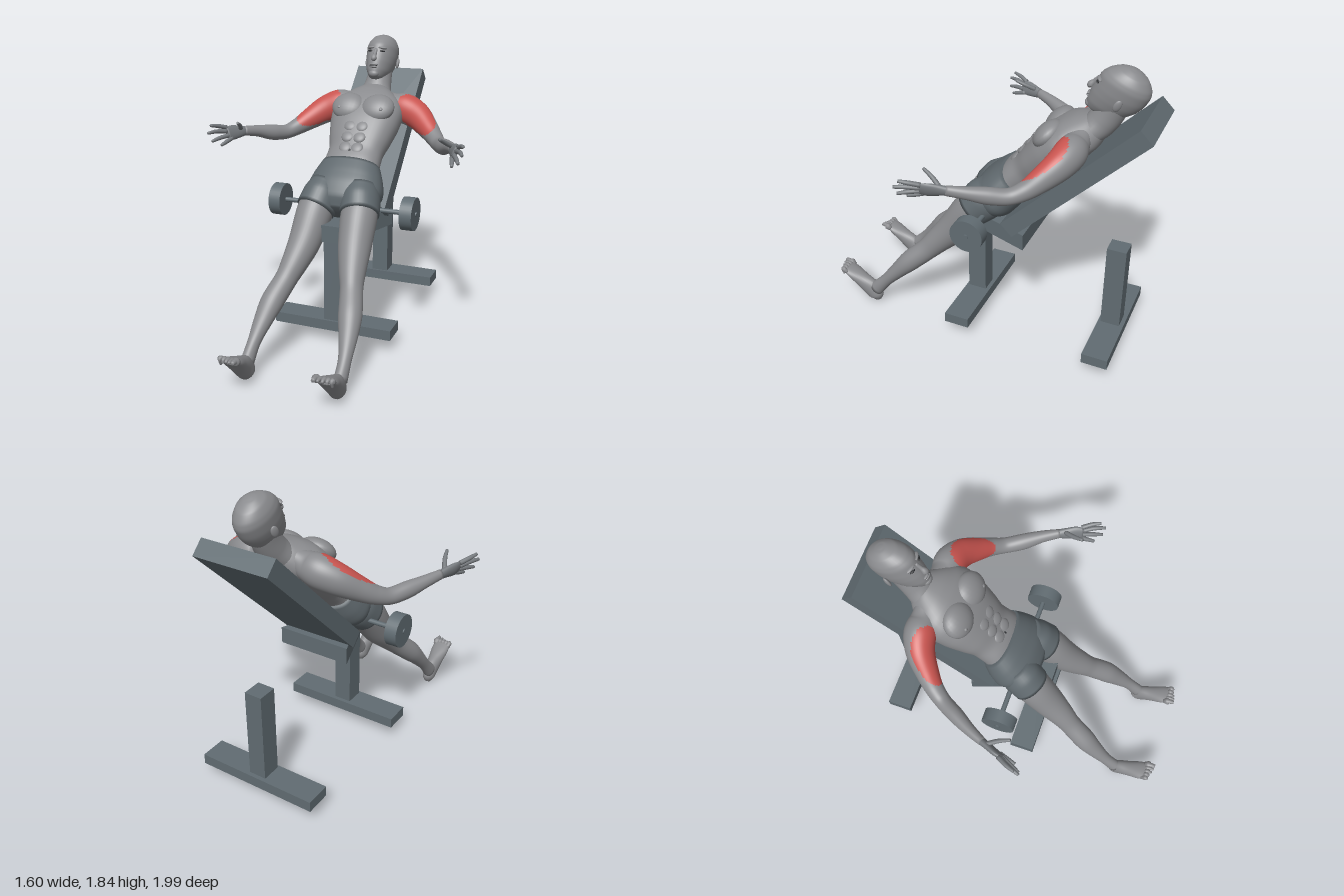
import * as THREE from 'three';

const V = (x, y, z) => new THREE.Vector3(x, y, z);
const mat = (name, color) => Object.assign(new THREE.MeshStandardMaterial({ color }), { name });

// Smooth tube through rows [x, y, z, a, b]; a lies along `hint`, b across it.
// `paint(t, dir)` may send a face to the second material.
function loft(rows, hint, { axis, power = 2, sides = 28, steps = 5, paint } = {}) {
  const path = new THREE.CatmullRomCurve3(rows.map(r => V(r[0], r[1], r[2])));
  const size = new THREE.CatmullRomCurve3(rows.map(r => V(r[3], r[4], 0)));
  const n = (rows.length - 1) * steps;
  const pos = [], idx = [[], []], dirs = [];
  const wave = w => Math.sign(w) * Math.pow(Math.abs(w), 2 / power);
  for (let i = 0; i <= n; i++) {
    const c = path.getPoint(i / n), r = size.getPoint(i / n);
    const t = axis ? axis.clone() : path.getPoint(Math.min(1, (i + 0.5) / n)).sub(path.getPoint(Math.max(0, (i - 0.5) / n)));
    t.normalize();
    const u = hint.clone().addScaledVector(t, -hint.dot(t)).normalize();
    const v = t.clone().cross(u);
    for (let j = 0; j < sides; j++) {
      const k = j / sides * Math.PI * 2;
      const d = u.clone().multiplyScalar(r.x * wave(Math.cos(k))).addScaledVector(v, r.y * wave(Math.sin(k)));
      pos.push(c.x + d.x, c.y + d.y, c.z + d.z);
      dirs.push(d.normalize());
    }
  }
  for (let i = 0; i < n; i++) for (let j = 0; j < sides; j++) {
    const k = (j + 1) % sides, a = i * sides + j, b = i * sides + k;
    const g = paint && paint((i + 0.5) / n, dirs[a].clone().add(dirs[b]).normalize()) ? 1 : 0;
    idx[g].push(a, b, b + sides, a, b + sides, a + sides);
  }
  // end caps
  const p0 = pos.length / 3, first = rows[0], last = rows[rows.length - 1];
  pos.push(first[0], first[1], first[2], last[0], last[1], last[2]);
  for (let j = 0; j < sides; j++) {
    const k = (j + 1) % sides;
    idx[0].push(p0, k, j, p0 + 1, n * sides + j, n * sides + k);
  }
  const geo = new THREE.BufferGeometry();
  geo.setAttribute('position', new THREE.Float32BufferAttribute(pos, 3));
  geo.setIndex([...idx[0], ...idx[1]]);
  geo.addGroup(0, idx[0].length, 0);
  if (idx[1].length) geo.addGroup(idx[0].length, idx[1].length, 1);
  geo.computeVertexNormals();
  return geo;
}

// Rows [height, front, back, halfWidth] as an upright loft
const upright = (rows, power = 2) => loft(
  rows.map(([h, f, b, w]) => [0, h, (f + b) / 2, w, (f - b) / 2]), V(1, 0, 0), { axis: V(0, 1, 0), power, sides: 40 });

export function createModel() {
  const model = new THREE.Group();
  const skin = mat('skin', 0x8a8b8e), shorts = mat('shorts', 0x5f686d), bench = mat('bench', 0x616c72);
  const red = mat('workedMuscle', 0xc8544f), hand = mat('hand', 0x777b7f), dark = mat('eye', 0x2e3033);

  const add = (name, geo, m, parent = model) => {
    const mesh = new THREE.Mesh(geo, m);
    mesh.name = name;
    parent.add(mesh);
    return mesh;
  };
  const box = (name, x, y0, y1, z0, z1, parent) =>
    add(name, new THREE.BoxGeometry(2 * x, y1 - y0, z1 - z0), bench, parent).position.set(0, (y0 + y1) / 2, (z0 + z1) / 2);
  const blob = (name, m, parent, p, s) => {
    const mesh = add(name, new THREE.SphereGeometry(1, 24, 16), m, parent);
    mesh.position.set(...p);
    mesh.scale.set(...s);
    return mesh;
  };
  const frame = (name, y, z, tilt) => {
    const g = new THREE.Group();
    g.name = name;
    g.position.set(0, y, z);
    g.rotation.x = -tilt;
    model.add(g);
    return g;
  };

  // Bench: posts, feet, tapered seat and sloping back
  box('frontPost', 0.055, 0.16, 0.7, 0.03, 0.15);
  box('frontFoot', 0.385, 0.1, 0.165, 0.005, 0.165);
  box('rearPost', 0.055, 0.16, 0.72, -0.88, -0.76);
  box('rearFoot', 0.385, 0.1, 0.165, -0.905, -0.745);
  const seat = new THREE.Shape([[-0.07, -0.18], [0.07, -0.18], [0.235, 0.295], [-0.235, 0.295]].map(p => new THREE.Vector2(...p)));
  const seatGeo = new THREE.ExtrudeGeometry(seat, { depth: 0.105, bevelEnabled: false }).rotateX(-Math.PI / 2);
  add('seat', seatGeo, bench).position.y = 0.69;
  const recline = frame('reclinedTorso', 0, 0, Math.PI / 4);
  box('backrest', 0.235, 0.7, 1.795, 0.385, 0.49, recline);

  // Dumbbell across the hips
  const rod = (name, r, len, x) => {
    const m = add(name, new THREE.CylinderGeometry(r, r, len, 36).rotateZ(Math.PI / 2), bench);
    m.position.set(x, 0.862, -0.035);
  };
  rod('bar', 0.015, 0.95, 0);
  for (const s of [-1, 1]) rod('weight', 0.102, 0.076, s * 0.43);

  // Torso and shorts, along the slope of the back
  add('torso', upright([
    [0.84, 0.74, 0.53, 0.19], [0.9, 0.748, 0.535, 0.181], [0.98, 0.745, 0.53, 0.177], [1.08, 0.762, 0.515, 0.2],
    [1.2, 0.775, 0.5, 0.226], [1.3, 0.772, 0.495, 0.235], [1.38, 0.755, 0.5, 0.215],
    [1.44, 0.73, 0.505, 0.165], [1.5, 0.69, 0.53, 0.1], [1.53, 0.665, 0.55, 0.05]], 2.3), skin, recline);
  add('shortsWaist', upright([
    [0.56, 0.7, 0.56, 0.09], [0.62, 0.752, 0.5, 0.2], [0.72, 0.773, 0.472, 0.243],
    [0.8, 0.77, 0.485, 0.226], [0.89, 0.758, 0.525, 0.19]], 2.3), shorts, recline);
  for (const s of [-1, 1]) {
    blob('chestMuscle', skin, recline, [s * 0.098, 1.275, 0.74], [0.11, 0.098, 0.062]);
    blob('nipple', skin, recline, [s * 0.14, 1.235, 0.788], [0.012, 0.012, 0.008]);
    for (let i = 0; i < 3; i++)
      blob('abdominal', skin, recline, [s * 0.038, 0.97 + i * 0.075, 0.735 + i * 0.01], [0.042, 0.042, 0.018]);
  }
  blob('navel', dark, recline, [0, 0.945, 0.746], [0.006, 0.009, 0.003]);

  // Neck and head
  add('neck', loft([[0, 1.44, -0.59, 0.13, 0.08], [0, 1.52, -0.66, 0.09, 0.088], [0, 1.59, -0.705, 0.08, 0.083],
    [0, 1.68, -0.755, 0.078, 0.07]], V(1, 0, 0)), skin);
  const head = frame('head', 1.7, -0.74, 0.4);
  add('skull', upright([
    [-0.172, 0.1, 0.02, 0.02], [-0.155, 0.133, -0.03, 0.046], [-0.11, 0.144, -0.09, 0.074], [-0.05, 0.146, -0.135, 0.091],
    [0, 0.142, -0.152, 0.099], [0.05, 0.138, -0.157, 0.101], [0.09, 0.118, -0.145, 0.094],
    [0.13, 0.075, -0.105, 0.071], [0.152, 0.025, -0.05, 0.036], [0.157, 0, -0.02, 0.01]]), skin, head);
  add('nose', loft([[0, 0.02, 0.135, 0.01, 0.01], [0, -0.02, 0.148, 0.012, 0.014], [0, -0.05, 0.158, 0.02, 0.02],
    [0, -0.062, 0.15, 0.012, 0.012]], V(1, 0, 0), { sides: 16 }), skin, head);
  blob('upperLip', skin, head, [0, -0.088, 0.143], [0.03, 0.007, 0.012]);
  blob('mouthLine', dark, head, [0, -0.095, 0.145], [0.027, 0.002, 0.006]);
  blob('lowerLip', skin, head, [0, -0.103, 0.142], [0.026, 0.008, 0.012]);
  blob('chin', skin, head, [0, -0.142, 0.118], [0.034, 0.025, 0.026]);
  for (const s of [-1, 1]) {
    blob('eye', dark, head, [s * 0.042, 0.008, 0.129], [0.018, 0.006, 0.007]).rotation.y = s * 0.4;
    blob('brow', skin, head, [s * 0.04, 0.03, 0.126], [0.03, 0.009, 0.014]).rotation.y = s * 0.35;
    blob('ear', skin, head, [s * 0.105, -0.025, -0.03], [0.011, 0.036, 0.022]).rotation.y = s * 0.4;
  }

  // Limbs, mirrored left and right
  for (const s of [-1, 1]) {
    const limb = (name, rows, m, hint, opt) =>
      add(name, loft(rows.map(([x, ...r]) => [s * x, ...r]), V(s * hint[0], hint[1], hint[2]), opt), m);

    // Arm, with the muscle on its upper front face in red
    const front = V(-0.2 * s, 0.58, 0.79);
    limb('arm', [
      [0.07, 1.465, -0.58, 0.05, 0.05], [0.15, 1.42, -0.56, 0.082, 0.08], [0.235, 1.4, -0.555, 0.098, 0.092],
      [0.32, 1.365, -0.525, 0.09, 0.083], [0.41, 1.305, -0.455, 0.07, 0.066], [0.47, 1.262, -0.395, 0.055, 0.054],
      [0.52, 1.236, -0.325, 0.047, 0.047], [0.57, 1.245, -0.235, 0.05, 0.046], [0.63, 1.27, -0.13, 0.037, 0.035],
      [0.678, 1.287, -0.03, 0.03, 0.024]], [skin, red], [0.2, 1, 0],
    { sides: 48, steps: 8, paint: (t, d) => d.dot(front) > 0.1 + 22 * (t - 0.36) ** 2 });

    // Hand
    limb('palm', [[0.672, 1.285, -0.045, 0.028, 0.022], [0.69, 1.288, 0.005, 0.038, 0.021],
      [0.712, 1.29, 0.06, 0.046, 0.019], [0.722, 1.29, 0.1, 0.04, 0.014]], hand, [0.35, 1, 0]);
    const fingers = [
      [[0.737, 1.325, 0.085], [0.768, 1.342, 0.14], [0.788, 1.352, 0.19]],
      [[0.732, 1.302, 0.095], [0.766, 1.312, 0.16], [0.79, 1.31, 0.22]],
      [[0.717, 1.278, 0.095], [0.745, 1.272, 0.155], [0.768, 1.26, 0.212]],
      [[0.703, 1.26, 0.08], [0.715, 1.245, 0.13], [0.725, 1.232, 0.175]],
      [[0.685, 1.305, 0], [0.655, 1.337, 0.06], [0.637, 1.366, 0.12]]];
    fingers.forEach((f, i) => limb(i < 4 ? 'finger' : 'thumb', [
      [...f[0], 0.014, 0.014], [...f[1], 0.013, 0.013], [...f[2], 0.009, 0.009]], hand, [0, 1, 0.1], { sides: 12 }));

    // Leg and leg of the shorts
    limb('shortsLeg', [[0.115, 0.99, -0.06, 0.1, 0.11], [0.128, 0.92, 0, 0.122, 0.134],
      [0.145, 0.852, 0.068, 0.121, 0.123]], shorts, [1, 0, 0], { sides: 36 });
    limb('leg', [
      [0.135, 0.92, 0, 0.11, 0.118], [0.145, 0.84, 0.075, 0.112, 0.116], [0.162, 0.685, 0.19, 0.1, 0.102],
      [0.188, 0.57, 0.295, 0.08, 0.082], [0.212, 0.49, 0.37, 0.068, 0.07], [0.246, 0.395, 0.475, 0.07, 0.068],
      [0.268, 0.3, 0.565, 0.056, 0.052], [0.284, 0.195, 0.66, 0.038, 0.041], [0.288, 0.11, 0.735, 0.038, 0.05]],
    skin, [1, 0, 0], { sides: 36 });

    // Foot and toes
    limb('foot', [
      [0.283, 0.022, 0.725, 0.018, 0.02], [0.283, 0.055, 0.738, 0.04, 0.055], [0.284, 0.1, 0.775, 0.044, 0.066],
      [0.284, 0.15, 0.84, 0.051, 0.05], [0.284, 0.195, 0.9, 0.06, 0.032], [0.284, 0.226, 0.945, 0.057, 0.018]],
    skin, [1, 0, 0]);
    for (let i = 0; i < 5; i++) {
      const x = 0.237 + i * 0.0235, r = i ? 0.011 : 0.016, end = 0.99 - 0.0025 * i * i;
      limb('toe', [[x, 0.215, 0.925, r, r], [x, 0.238, 0.96, r, r], [x, end - 0.75, end, r * 0.7, r * 0.7]],
        skin, [1, 0, 0], { sides: 12 });
    }
  }
  return model;
}
